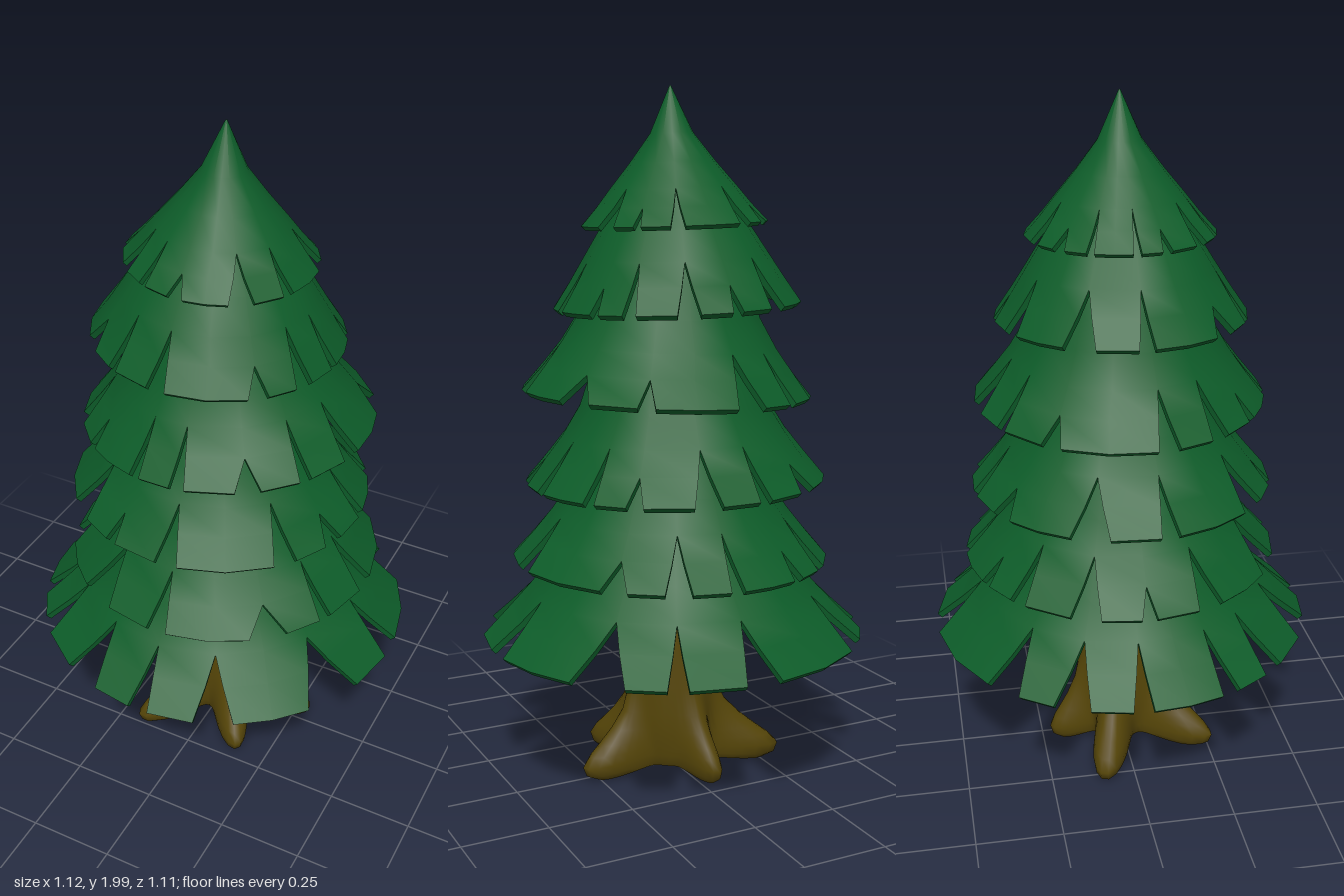
import * as THREE from 'three';
import { toCreasedNormals } from 'three/addons/utils/BufferGeometryUtils.js';

const GREEN = new THREE.MeshStandardMaterial({ color: 0x0d5c29 });
const BROWN = new THREE.MeshStandardMaterial({ color: 0x554508 });
const RAD = Math.PI / 180;

// Start and end angle of every flap at the rim, in degrees round from +x to +z
const FLAPS = [[3, 18.5], [37, 60], [72, 86], [92.5, 105], [118, 134], [142, 153], [159, 180],
  [186, 198], [209, 220], [231.5, 265], [276, 292], [298, 309.5], [326, 354]];

// Height above the rim and radius factor, from rim to crown
const SKIRT = [[0, 1], [0.07, 0.865], [0.135, 0.75], [0.22, 0.63], [0.32, 0.55], [0.42, 0.43]];
const UPPER_SKIRT = [[0, 1], [0.07, 0.865], [0.135, 0.75], [0.22, 0.6], [0.32, 0.38], [0.4, 0.24]];
const CROWN = [[0, 1], [0.05, 0.83], [0.1, 0.68], [0.17, 0.46], [0.25, 0.23], [0.38, 0.004]];

// rim height, rim radius, pattern turn, gap size, x shift, tilt about z
const TIERS = [
  { y: 0.433, R: 0.558, turn: 0, gap: 1, dx: 0, tilt: 0, profile: SKIRT },
  { y: 0.66, R: 0.46, turn: 90, gap: 0.85, dx: 0.008, tilt: 0.01, profile: SKIRT },
  { y: 0.89, R: 0.435, turn: 173, gap: 0.8, dx: -0.008, tilt: -0.015, profile: SKIRT },
  { y: 1.143, R: 0.417, turn: -55, gap: 0.75, dx: 0.02, tilt: 0.035, profile: SKIRT },
  { y: 1.392, R: 0.355, turn: 180, gap: 0.8, dx: -0.015, tilt: -0.035, profile: UPPER_SKIRT },
  { y: 1.62, R: 0.265, turn: 24, gap: 0.8, dx: -0.006, tilt: -0.035, profile: CROWN },
];

function meshFromTriangles(name, positions, material, crease) {
  const geometry = new THREE.BufferGeometry();
  geometry.setAttribute('position', new THREE.Float32BufferAttribute(positions, 3));
  const mesh = new THREE.Mesh(toCreasedNormals(geometry, crease), material);
  mesh.name = name;
  return mesh;
}

function polar(r, y, degrees) {
  return [r * Math.cos(degrees * RAD), y, r * Math.sin(degrees * RAD)];
}

// One flared shell of foliage, cut into straight-edged flaps by V-shaped notches
function makeTier(tier, index) {
  const profile = tier.profile;
  const positions = [];
  const quad = (a, b, c, d) => positions.push(...a, ...b, ...c, ...a, ...c, ...d);
  const count = FLAPS.length;
  const thickness = Math.min(0.013, tier.R * 0.04);

  // Notch after flap k: middle angle, half width and the row of its apex
  const notches = FLAPS.map((flap, k) => {
    const next = FLAPS[(k + 1) % count][0] + (k === count - 1 ? 360 : 0);
    const shallow = index > 0 && (k * 7 + index) % 3 === 0;
    return { mid: (flap[1] + next) / 2, half: (next - flap[1]) / 2 * tier.gap, apex: shallow ? 1 : 2 };
  });

  FLAPS.forEach((flap, k) => {
    const before = notches[(k + count - 1) % count];
    const after = notches[k];
    const wrap = k === 0 ? -360 : 0;
    const columns = Math.ceil((flap[1] - flap[0]) / 18);
    const opening = (n, row) => n.half * Math.max(0, 1 - row / n.apex);
    const point = (row, column, inner) => {
      const start = before.mid + wrap + opening(before, row);
      const end = after.mid - opening(after, row);
      const angle = start + (end - start) * column / columns + tier.turn;
      const [dy, factor] = profile[row];
      const inset = inner ? thickness : 0;
      return polar(Math.max(0.002, tier.R * factor - inset), dy - inset, angle);
    };
    for (let c = 0; c < columns; c++) {
      for (let row = 0; row < profile.length - 1; row++) {
        quad(point(row, c), point(row + 1, c), point(row + 1, c + 1), point(row, c + 1));
        quad(point(row, c, true), point(row, c + 1, true), point(row + 1, c + 1, true), point(row + 1, c, true));
      }
      quad(point(0, c), point(0, c + 1), point(0, c + 1, true), point(0, c, true));
    }
    // Cut edges along the notches
    for (let row = 0; row < before.apex; row++) {
      quad(point(row, 0), point(row, 0, true), point(row + 1, 0, true), point(row + 1, 0));
    }
    for (let row = 0; row < after.apex; row++) {
      quad(point(row, columns), point(row + 1, columns), point(row + 1, columns, true), point(row, columns, true));
    }
  });

  const mesh = meshFromTriangles(`foliageTier${index + 1}`, positions, GREEN, 0.75);
  mesh.position.set(tier.dx, tier.y, 0);
  mesh.rotation.z = tier.tilt;
  return mesh;
}

// Trunk whose foot swells into five roots
function makeTrunk() {
  const roots = [[-5, 0.315], [55, 0.3], [124, 0.325], [198, 0.34], [260, 0.245]];
  // height, round radius, share of the root length
  const rows = [[0.04, 0.002, 0], [0.025, 0.09, 0.3], [0.006, 0.105, 0.82], [0.022, 0.112, 0.97], [0.05, 0.117, 1],
    [0.08, 0.12, 0.86], [0.11, 0.123, 0.66], [0.15, 0.125, 0.42], [0.2, 0.126, 0.19], [0.28, 0.121, 0.05],
    [0.42, 0.113, 0], [0.7, 0.1, 0], [1.0, 0.07, 0], [1.0, 0.002, 0]];
  const steps = 90;
  const point = (row, step) => {
    const [y, base, share] = rows[row];
    const angle = (step % steps) * 360 / steps;
    let r = base;
    let swell = 0;
    for (const [at, length] of roots) {
      const away = ((angle - at + 540) % 360) - 180;
      const lobe = Math.exp(-((away / 16) ** 2));
      r += (length - 0.13) * share * lobe;
      swell += lobe;
    }
    const [x, , z] = polar(r, y, angle);
    // The underside arches up between roots; the trunk leans slightly to one side
    const arch = 0.03 * Math.max(0, 1 - swell) * Math.max(0, 1 - y / 0.15);
    return [x + 0.015 * Math.min(1, y / 0.4), y + arch, z];
  };
  const positions = [];
  for (let row = 0; row < rows.length - 1; row++) {
    for (let s = 0; s < steps; s++) {
      const a = point(row, s), b = point(row + 1, s), c = point(row + 1, s + 1), d = point(row, s + 1);
      positions.push(...a, ...b, ...c, ...a, ...c, ...d);
    }
  }
  return meshFromTriangles('trunkWithRoots', positions, BROWN, 1.3);
}

export function createModel() {
  const tree = new THREE.Group();
  tree.name = 'pineTree';
  tree.add(makeTrunk());
  TIERS.forEach((tier, i) => tree.add(makeTier(tier, i)));
  return tree;
}
